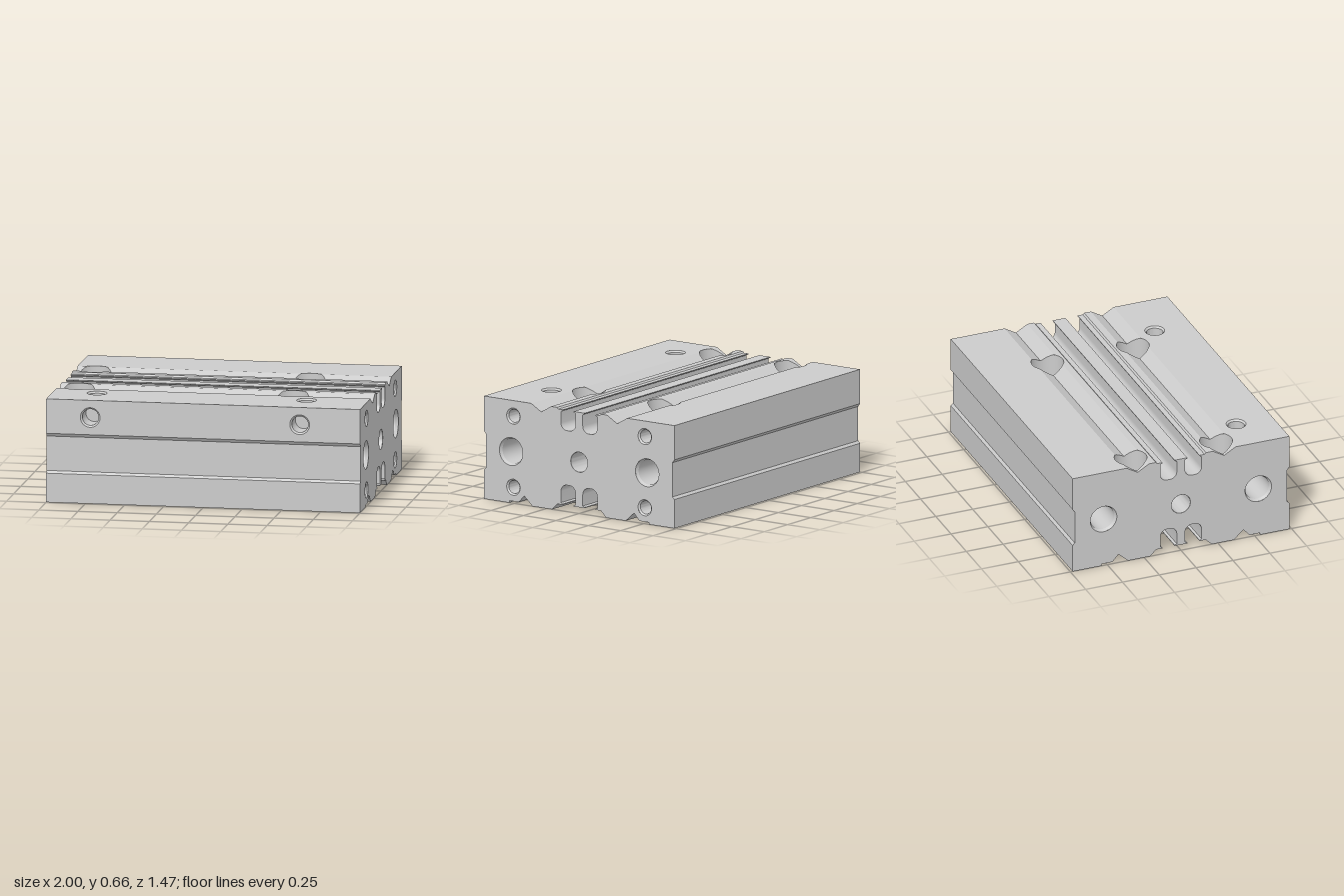
import * as THREE from 'three';
import { toCreasedNormals } from 'three/addons/utils/BufferGeometryUtils.js';

const SIDES = 48;
const CREASE = 0.4;
const material = new THREE.MeshStandardMaterial({ color: 0xcccccc });

function add(parent, name, geometry) {
  const mesh = new THREE.Mesh(toCreasedNormals(geometry, CREASE), material);
  mesh.name = name;
  parent.add(mesh);
  return mesh;
}

// Sensor slot of the upper face, points [z, y] from the centre outwards
function slotPoints() {
  const pts = [[0.043, 0.65], [0.043, 0.645], [0.028, 0.638]];
  const r = 0.045;
  for (const [cz, start] of [[0.073, Math.PI], [0.095, Math.PI * 1.5]]) {
    for (let i = 0; i <= 6; i++) {
      const a = start + (i / 6) * Math.PI / 2;
      pts.push([cz + r * Math.cos(a), 0.565 + r * Math.sin(a)]);
    }
  }
  pts.push([0.14, 0.638], [0.126, 0.645], [0.126, 0.65]);
  return pts;
}

// Closed cross-section of the body, points [z, y], clockwise
function bodyProfile() {
  const slot = slotPoints();
  const half = [
    ...slot,
    // upper V groove
    [0.16, 0.65], [0.17, 0.66], [0.216, 0.66], [0.293, 0.615], [0.37, 0.66],
    // side face with shallow recess
    [0.735, 0.66], [0.735, 0.44], [0.72, 0.42], [0.72, 0.2], [0.735, 0.185], [0.735, 0],
    // lower steps and grooves
    [0.538, 0], [0.538, 0.013], [0.465, 0.013], [0.424, 0.058], [0.359, 0],
    [0.208, 0], [0.168, 0.04],
    ...slot.map(([z, y]) => [z, 0.69 - y]).reverse(),
  ];
  return [...half, ...half.map(([z, y]) => [-z, y]).reverse()];
}

const vGrooveHeight = z => 0.66 - 0.045 * Math.max(0, 1 - Math.abs(Math.abs(z) - 0.293) / 0.077);

// Circular openings: x = position along the body, u = z or y across the face
const PORT_X = [-0.72, 0.615];
const MOUNT_X = [-0.875, 0.49];
const FOOT_X = [-0.72, 0.72];
const MOUNT_Z = 0.29, FOOT_Z = 0.635, BORE_Z = 0.525, BORE_Y = 0.33;
const grid = (xs, us, r) => us.flatMap(u => xs.map(x => ({ x, u, r })));
const topHoles = [...grid(MOUNT_X, [-MOUNT_Z, MOUNT_Z], 0.103), ...grid(PORT_X, [0.49], 0.063)];
const bottomHoles = [...grid(MOUNT_X, [-MOUNT_Z, MOUNT_Z], 0.06), ...grid(FOOT_X, [-FOOT_Z, FOOT_Z], 0.05)];
const frontHoles = grid(PORT_X, [0.55], 0.063);

// One long face between profile points a and b, cut in rows around its holes
function addStrip(out, a, b) {
  let axis = 0, holes = [];
  if (a[1] > 0.6 && b[1] > 0.6) holes = topHoles;
  else if (a[1] < 0.1 && b[1] < 0.1) holes = bottomHoles;
  else if (a[0] > 0.73 && b[0] > 0.73 && a[1] > 0.6) { holes = frontHoles; axis = 1; }
  const lo = Math.min(a[axis], b[axis]), hi = Math.max(a[axis], b[axis]);
  holes = hi - lo < 1e-6 ? [] : holes.filter(h => h.u + h.r > lo && h.u - h.r < hi);
  holes = [...holes].sort((p, q) => p.x - q.x);

  const rows = [0, 1];
  for (const h of holes) {
    for (let k = -SIDES / 4; k <= SIDES / 4; k++) {
      const t = (h.u + h.r * Math.sin(k * 2 * Math.PI / SIDES) - a[axis]) / (b[axis] - a[axis]);
      if (t > 0 && t < 1 && !rows.some(s => Math.abs(s - t) < 1e-6)) rows.push(t);
    }
  }
  rows.sort((p, q) => p - q);

  const edges = t => {
    const u = a[axis] + (b[axis] - a[axis]) * t;
    const xs = [-1];
    // holes sharing one x are kept as one pair of edges
    for (const x of new Set(holes.map(h => h.x))) {
      const w = Math.max(...holes.filter(h => h.x === x)
        .map(h => Math.sqrt(Math.max(0, h.r * h.r - (u - h.u) ** 2))));
      xs.push(x - w, x + w);
    }
    return [...xs, 1];
  };
  const point = (x, t) => [x, a[1] + (b[1] - a[1]) * t, a[0] + (b[0] - a[0]) * t];
  for (let i = 0; i + 1 < rows.length; i++) {
    const s = rows[i], t = rows[i + 1], e = edges(s), f = edges(t);
    for (let j = 0; j < e.length; j += 2) {
      const A = point(e[j], s), B = point(f[j], t), C = point(f[j + 1], t), D = point(e[j + 1], s);
      out.push(...A, ...B, ...C, ...A, ...C, ...D);
    }
  }
}

// Inward-facing wall of a hole, points [radius, height] from the rim down
const holeGeometry = pts => new THREE.LatheGeometry(pts.map(p => new THREE.Vector2(...p)), SIDES);

function addBlindHole(parent, name, position, rotation, rim, r, depth, tip) {
  const hole = add(parent, name, holeGeometry(
    [[rim, 0], [r, -(rim - r)], [r, -depth], [0, -depth - tip]]));
  hole.position.set(...position);
  hole.rotation.set(...rotation);
}

export function createModel() {
  const model = new THREE.Group();
  model.name = 'cylinderBody';
  const profile = bodyProfile();

  // Long outer faces
  const positions = [];
  profile.forEach((p, i) => addStrip(positions, p, profile[(i + 1) % profile.length]));
  const faces = new THREE.BufferGeometry();
  faces.setAttribute('position', new THREE.Float32BufferAttribute(positions, 3));
  add(model, 'bodyFaces', faces);

  // End faces; only the right one carries the four screw holes
  const screws = [-1, 1].flatMap(s => [[s * 0.507, 0.56], [s * 0.507, 0.103]]);
  for (const side of [1, -1]) {
    const shape = new THREE.Shape(profile.map(([z, y]) => new THREE.Vector2(z, y)));
    const openings = [[-BORE_Z, BORE_Y, 0.09], [BORE_Z, BORE_Y, 0.09], [0, BORE_Y, 0.065]];
    if (side > 0) openings.push(...screws.map(([z, y]) => [z, y, 0.052]));
    for (const [z, y, r] of openings) {
      shape.holes.push(new THREE.Path().absarc(z, y, r, 0, Math.PI * 2, true));
    }
    const end = add(model, side > 0 ? 'rightEnd' : 'leftEnd', new THREE.ShapeGeometry(shape, SIDES));
    end.position.x = side;
    end.rotation.y = side * Math.PI / 2;
    addBlindHole(model, 'centreHole', [side, BORE_Y, 0], [0, 0, -side * Math.PI / 2], 0.065, 0.064, 0.2, 0.037);
  }
  for (const [z, y] of screws) {
    addBlindHole(model, 'screwHole', [1, y, z], [0, 0, -Math.PI / 2], 0.052, 0.042, 0.18, 0.025);
  }

  // Through bores along the body
  for (const z of [-BORE_Z, BORE_Z]) {
    const bore = add(model, 'bore', holeGeometry([[0.09, 1], [0.08, 0.98], [0.08, -0.98], [0.09, -1]]));
    bore.position.set(0, BORE_Y, z);
    bore.rotation.z = -Math.PI / 2;
  }

  // Vertical mounting holes, counterbored through the V grooves
  for (const { x, u: z } of grid(MOUNT_X, [-MOUNT_Z, MOUNT_Z])) {
    const geometry = holeGeometry([[0.103, 0.66], [0.103, 0.47], [0.055, 0.47], [0.055, 0.005], [0.06, 0]]);
    const pos = geometry.attributes.position;
    for (let i = 0; i < pos.count; i++) {
      if (pos.getY(i) > 0.6) pos.setY(i, vGrooveHeight(z + pos.getZ(i)));
    }
    add(model, 'mountingHole', geometry).position.set(x, 0, z);
  }

  // Ports on the top and front, and threaded holes underneath
  for (const x of PORT_X) {
    addBlindHole(model, 'topPort', [x, 0.66, 0.49], [0, 0, 0], 0.063, 0.052, 0.14, 0);
    addBlindHole(model, 'frontPort', [x, 0.55, 0.735], [Math.PI / 2, 0, 0], 0.063, 0.052, 0.14, 0);
  }
  for (const { x, u: z } of grid(FOOT_X, [-FOOT_Z, FOOT_Z])) {
    addBlindHole(model, 'footHole', [x, 0, z], [Math.PI, 0, 0], 0.05, 0.043, 0.15, 0.02);
  }
  return model;
}
